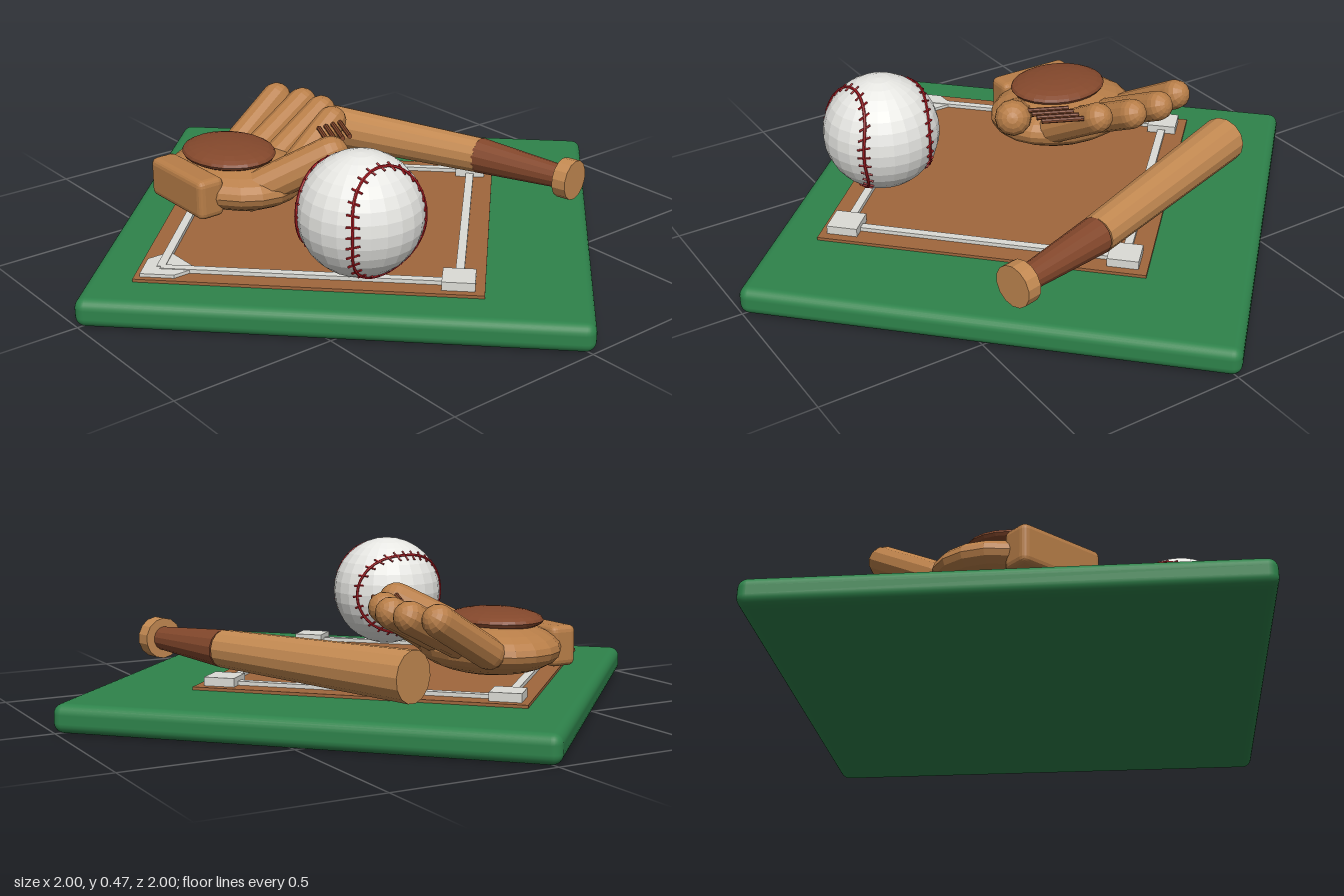
import * as THREE from 'three';
import { RoundedBoxGeometry } from 'three/addons/geometries/RoundedBoxGeometry.js';

const mat = (name, color, flatShading = true) => {
  const m = new THREE.MeshStandardMaterial({ color, flatShading });
  m.name = name;
  return m;
};
const V = (x, y, z) => new THREE.Vector3(x, y, z);
const UP = V(0, 1, 0);

export function createModel() {
  const grass = mat('grass green', 0x2e834b, false);
  const dirt = mat('infield dirt', 0xa0673d);
  const chalk = mat('chalk white', 0xdcdcd6);
  const hide = mat('ball white', 0xeeeeea);
  const stitch = mat('stitch red', 0xb01c24);
  const wood = mat('bat wood', 0xc48a52);
  const leather = mat('glove leather', 0xb87e48);
  const brown = mat('dark brown', 0x84482c);

  const model = new THREE.Group();
  model.name = 'baseballSet';

  const add = (parent, name, geometry, material, p = [0, 0, 0]) => {
    const mesh = new THREE.Mesh(geometry, material);
    mesh.name = name;
    mesh.position.set(...p);
    parent.add(mesh);
    return mesh;
  };
  const group = (name) => {
    const g = new THREE.Group();
    g.name = name;
    model.add(g);
    return g;
  };
  // stand an upright geometry along the segment a-b
  const along = (mesh, a, b) => {
    mesh.position.lerpVectors(a, b, 0.5);
    mesh.quaternion.setFromUnitVectors(UP, b.clone().sub(a).normalize());
    return mesh;
  };
  const rod = (parent, name, a, b, ra, rb, material, sides = 14) =>
    along(add(parent, name, new THREE.CylinderGeometry(rb, ra, a.distanceTo(b), sides), material), a, b);
  const capsule = (parent, name, a, b, r, material, sides = 12) =>
    along(add(parent, name, new THREE.CapsuleGeometry(r, a.distanceTo(b), 5, sides), material), a, b);

  // Field: grass slab, dirt diamond, chalk lines and bases
  const field = group('field');
  add(field, 'grassBase', new RoundedBoxGeometry(1.432, 0.085, 1.432, 3, 0.03), grass, [0, 0.0425, 0])
    .rotation.y = Math.PI / 4;
  add(field, 'dirtInfield', new THREE.BoxGeometry(0.992, 0.012, 0.992), dirt, [0, 0.088, 0.118])
    .rotation.y = Math.PI / 4;

  const corners = [V(0, 0.1, 0.725), V(0.6, 0.1, 0.122), V(0, 0.1, -0.48), V(-0.6, 0.1, 0.122)];
  corners.forEach((a, i) => {
    const b = corners[(i + 1) % 4];
    const line = add(field, 'chalkLine', new THREE.BoxGeometry(0.025, 0.012, a.distanceTo(b)), chalk);
    line.position.lerpVectors(a, b, 0.5);
    line.rotation.y = Math.atan2(b.x - a.x, b.z - a.z);
    if (i > 0) {
      add(field, 'base', new THREE.BoxGeometry(0.094, 0.026, 0.094), chalk, [a.x, 0.107, a.z])
        .rotation.y = Math.PI / 4;
    }
  });

  const plate = new THREE.Shape([[-0.07, 0.65], [0.07, 0.65], [0.07, 0.725], [0, 0.795], [-0.07, 0.725]]
    .map(([x, z]) => new THREE.Vector2(x, z)));
  add(field, 'homePlate', new THREE.ExtrudeGeometry(plate, { depth: 0.012, bevelEnabled: false }), chalk, [0, 0.104, 0])
    .rotation.x = Math.PI / 2;

  // Bat lying across the back
  const bat = group('bat');
  const end = V(-0.6, 0.185, -0.19), joint = V(0.08, 0.185, -0.445);
  const neck = V(0.375, 0.182, -0.523), tip = V(0.42, 0.182, -0.533);
  rod(bat, 'barrel', end, joint, 0.075, 0.058, wood);
  rod(bat, 'grip', joint, neck, 0.058, 0.037, brown);
  rod(bat, 'knob', neck, tip, 0.064, 0.064, wood);

  // Ball with two wavy stitched seams
  const ball = group('ball');
  ball.position.set(0.38, 0.285, 0.298);
  const R = 0.182;
  add(ball, 'ballSkin', new THREE.SphereGeometry(R, 24, 16), hide);
  for (const side of [-1, 1]) {
    const seamPoint = (t, shift = 0) => {
      const x = side * 0.105 + 0.022 * Math.cos(2 * t) + shift;
      const r = Math.sqrt(R * R - x * x);
      return V(x, r * Math.sin(t), r * Math.cos(t)).multiplyScalar(1.005);
    };
    const points = Array.from({ length: 40 }, (_, i) => seamPoint(i / 40 * Math.PI * 2));
    add(ball, 'seam', new THREE.TubeGeometry(new THREE.CatmullRomCurve3(points, true), 72, 0.0045, 6, true), stitch);
    for (let i = 0; i < 28; i++) {
      const t = i / 28 * Math.PI * 2;
      rod(ball, 'stitch', seamPoint(t, -0.014), seamPoint(t + 0.04, 0.014), 0.0035, 0.0035, stitch, 5);
    }
  }

  // Glove, palm up
  const glove = group('glove');
  add(glove, 'palm', new THREE.SphereGeometry(1, 20, 14), leather, [-0.28, 0.19, 0.27]).scale.set(0.25, 0.083, 0.205);
  add(glove, 'pocket', new THREE.SphereGeometry(1, 24, 12), brown, [-0.28, 0.272, 0.295]).scale.set(0.163, 0.033, 0.138);
  add(glove, 'cuff', new RoundedBoxGeometry(0.285, 0.125, 0.09, 2, 0.02), leather, [-0.283, 0.192, 0.45]);

  const fingers = [[-0.505, -0.052], [-0.408, -0.087], [-0.305, -0.087], [-0.2, -0.05]]
    .map(([x, z]) => [V(x, 0.316, z), V(x + 0.045, 0.2, 0.15)]);
  fingers.forEach(([a, b], i) => {
    capsule(glove, 'finger', b, a, 0.048, leather);
    if (i < 3) {
      // thin leather strip between neighbouring fingers
      const [c, d] = fingers[i + 1];
      const top = a.clone().add(c).multiplyScalar(0.5), low = b.clone().add(d).multiplyScalar(0.5);
      capsule(glove, 'fingerStrip', top.clone().lerp(low, 0.3), top.clone().lerp(low, 0.92), 0.013, leather, 8);
    }
  });
  capsule(glove, 'thumb', V(-0.13, 0.185, 0.32), V(0.008, 0.302, 0.117), 0.058, leather);

  // Web laces between forefinger and thumb
  for (let i = 0; i < 4; i++) {
    const z = -0.045 + i * 0.028;
    rod(glove, 'webLace', V(-0.15, 0.325, z), V(-0.03, 0.325, z + 0.055), 0.008, 0.008, brown, 8);
  }

  return model;
}
